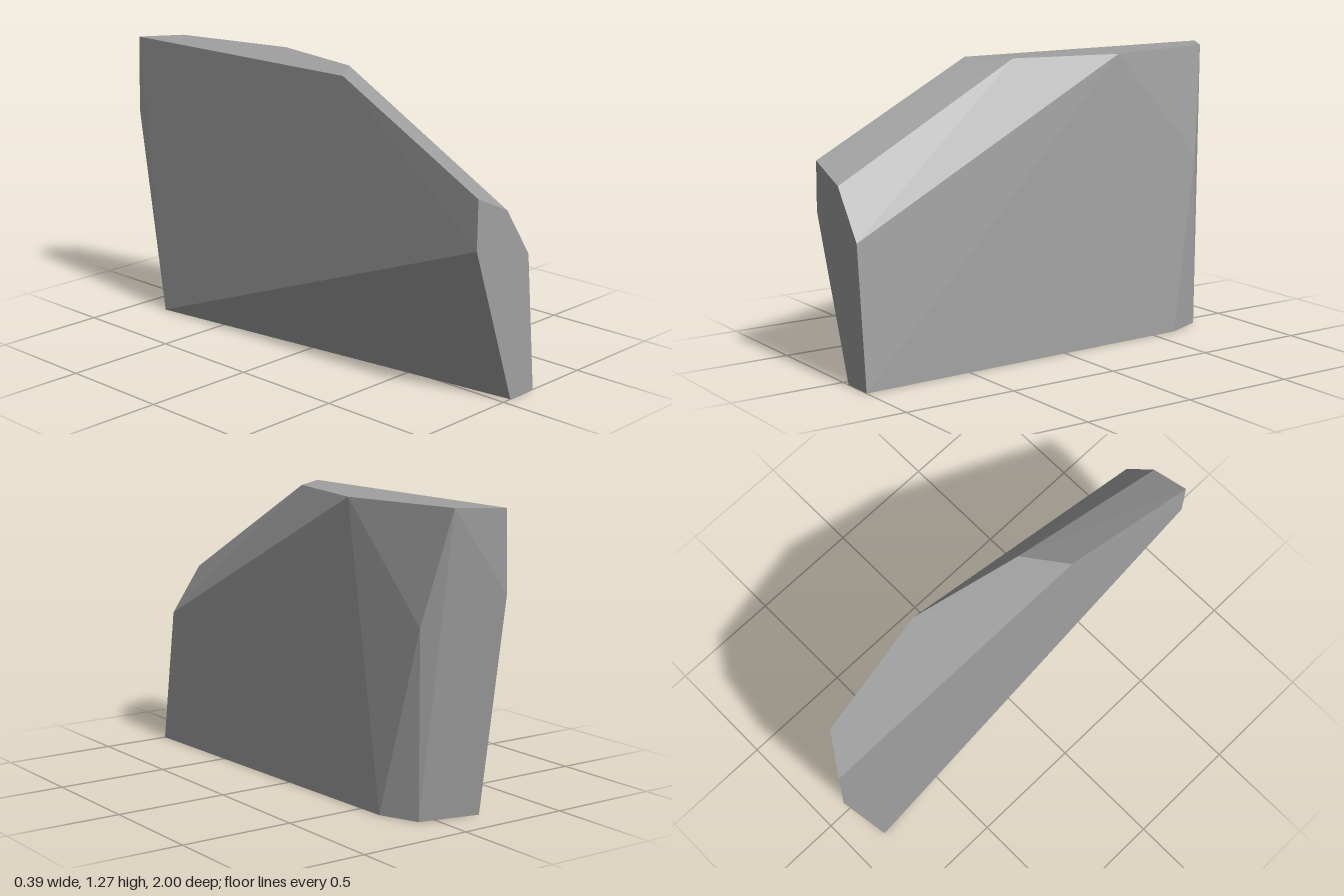
import * as THREE from 'three';
import { ConvexGeometry } from 'three/addons/geometries/ConvexGeometry.js';

export function createModel() {
  const group = new THREE.Group();
  group.name = 'rockSlab';

  const stone = new THREE.MeshStandardMaterial({ color: 0xa0a0a0 });
  stone.name = 'grey stone';

  const H = 1.27;
  const corners = [
    // flat top
    [-0.19, H, -0.99], [-0.02, H, -0.88], [0.09, H, -0.33], [-0.015, H, 0.15], [-0.19, H, 0.28],
    // upright front end
    [-0.19, 0.89, 1], [-0.01, 0.81, 1], [0.135, 0.6, 1], [-0.193, 0.68, 1],
    // base
    [0.193, 0, 1], [0.045, 0, 1], [0.14, 0, -0.62], [0.07, 0, -0.79], [-0.195, 0, -0.85],
    // chipped back end
    [0.07, 0.79, -0.785], [-0.19, 0.93, -1],
  ].map((p) => new THREE.Vector3(...p));

  // one faceted block spanned by its corners
  const slab = new THREE.Mesh(new ConvexGeometry(corners), stone);
  slab.name = 'slab';
  group.add(slab);
  return group;
}
